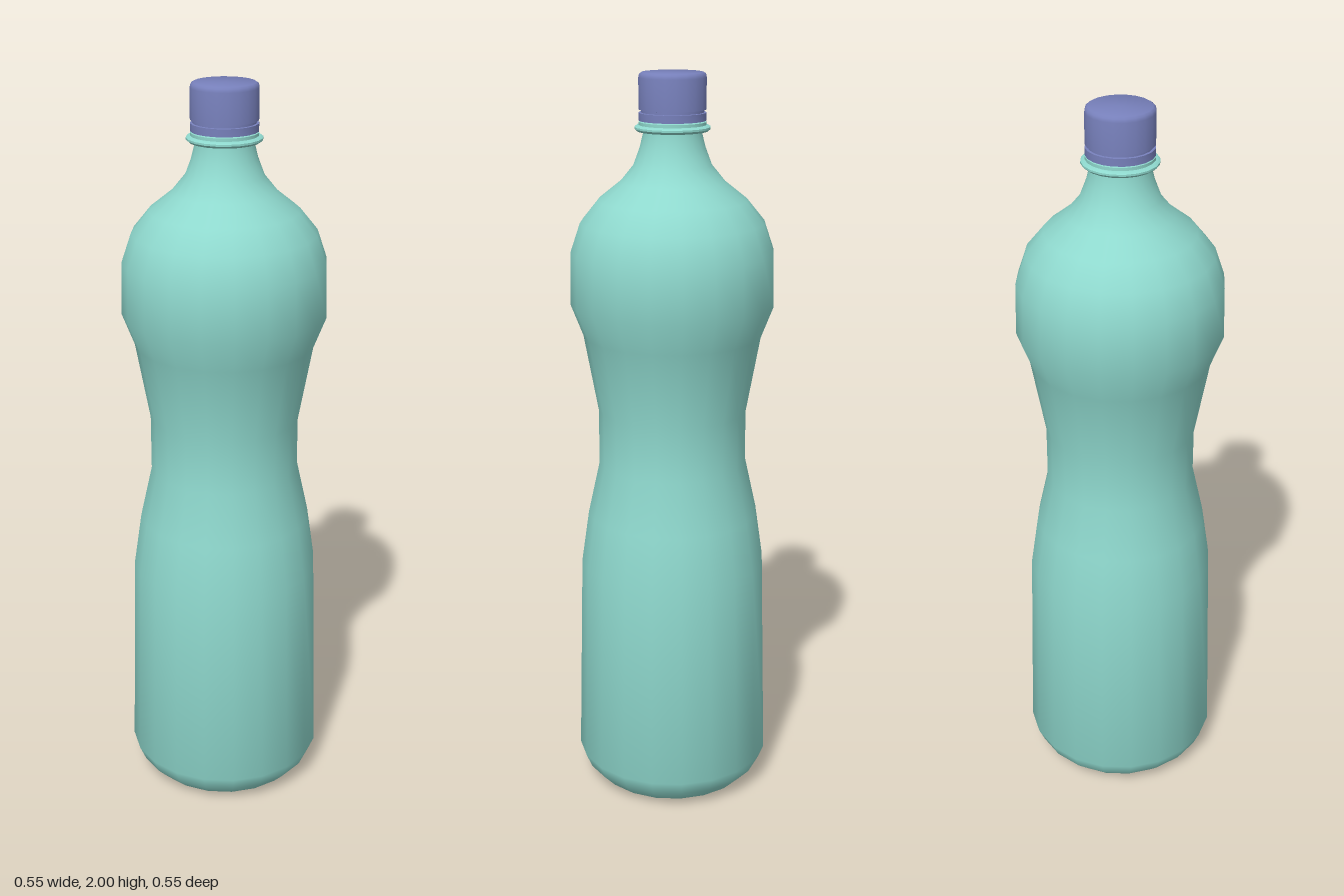
import * as THREE from 'three';
import { toCreasedNormals } from 'three/addons/utils/BufferGeometryUtils.js';

const SIDES = 20;

// Turned part from [radius, height] pairs, listed bottom to top
function turned(name, profile, material, crease) {
  const points = profile.map(([r, y]) => new THREE.Vector2(r, y));
  const geometry = toCreasedNormals(new THREE.LatheGeometry(points, SIDES), crease);
  const mesh = new THREE.Mesh(geometry, material);
  mesh.name = name;
  return mesh;
}

export function createModel() {
  const group = new THREE.Group();
  group.name = 'bottle';
  const plastic = new THREE.MeshStandardMaterial({ color: 0x8fd9ce });
  const capPlastic = new THREE.MeshStandardMaterial({ color: 0x7780bb });

  // Body: rounded base, pinched waist, domed shoulder and neck
  group.add(turned('body', [
    [0, 0], [0.18, 0], [0.22, 0.015], [0.253, 0.05], [0.27, 0.09],
    [0.255, 0.665], [0.234, 0.81], [0.202, 0.955],
    [0.202, 1.105], [0.24, 1.315], [0.273, 1.4],
    [0.27, 1.54], [0.244, 1.617], [0.197, 1.675], [0.138, 1.722],
    [0.103, 1.765], [0.086, 1.81], [0.076, 1.85], [0.076, 1.89], [0, 1.89],
  ], plastic, 0.9));

  // Support flange and the smaller bead above it
  group.add(turned('neckFlange', [
    [0.074, 1.85], [0.092, 1.852], [0.099, 1.858], [0.099, 1.863],
    [0.092, 1.868], [0.088, 1.868], [0.088, 1.876], [0.074, 1.878],
  ], plastic, 0.7));

  // Tamper ring, separated from the cap by a narrow groove
  group.add(turned('tamperRing', [
    [0.07, 1.879], [0.088, 1.879], [0.088, 1.899], [0.07, 1.901],
  ], capPlastic, 0.6));
  group.add(turned('capGroove', [[0.082, 1.89], [0.082, 1.92]], capPlastic, 0.6));

  // Screw cap with a softened top edge
  group.add(turned('cap', [
    [0.07, 1.905], [0.088, 1.907], [0.088, 1.987], [0.086, 1.996], [0.08, 2], [0, 2],
  ], capPlastic, 0.8));

  return group;
}
